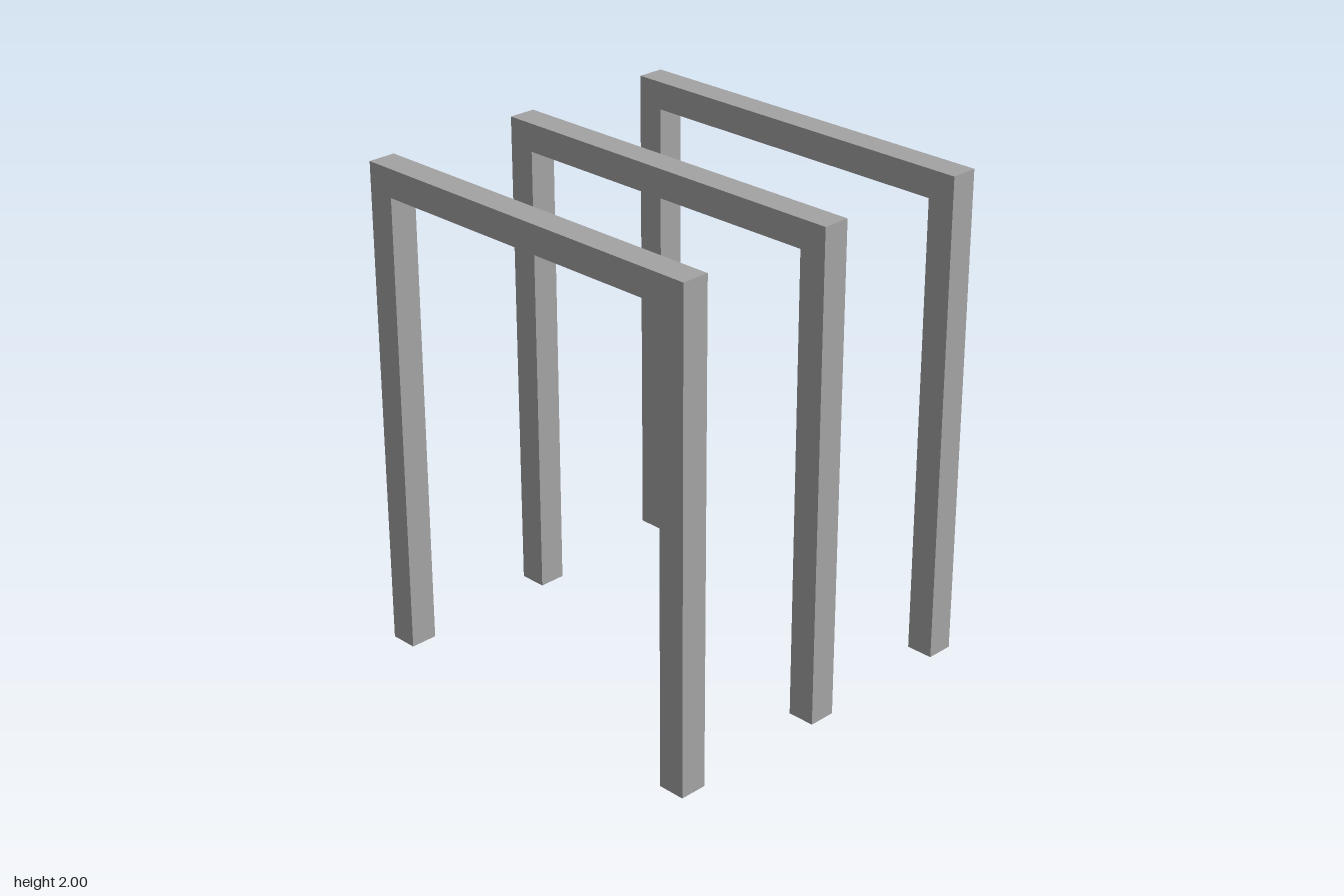
import * as THREE from 'three';

const BAR = 0.113;      // square bar thickness
const HEIGHT = 2;
const HALF_DEPTH = 0.803;
const SPACING = 0.689;  // distance between hoops

// One square-section hoop: an upside-down U drawn side-on, then turned to run along z
function createHoop(material) {
  const outer = HALF_DEPTH, inner = HALF_DEPTH - BAR, under = HEIGHT - BAR;
  const outline = new THREE.Shape([
    [-outer, 0], [-inner, 0], [-inner, under], [inner, under],
    [inner, 0], [outer, 0], [outer, HEIGHT], [-outer, HEIGHT],
  ].map(([x, y]) => new THREE.Vector2(x, y)));
  const geometry = new THREE.ExtrudeGeometry(outline, { depth: BAR, bevelEnabled: false });
  geometry.translate(0, 0, -BAR / 2);
  geometry.rotateY(Math.PI / 2);
  return new THREE.Mesh(geometry, material);
}

export function createModel() {
  const group = new THREE.Group();
  group.name = 'hoopRack';
  const steel = new THREE.MeshStandardMaterial({ color: 0xa3a3a3 });
  steel.name = 'steel grey';

  // Three identical hoops side by side
  ['rightHoop', 'middleHoop', 'leftHoop'].forEach((name, i) => {
    const hoop = createHoop(steel);
    hoop.name = name;
    hoop.position.x = (i - 1) * SPACING;
    group.add(hoop);
  });
  return group;
}
